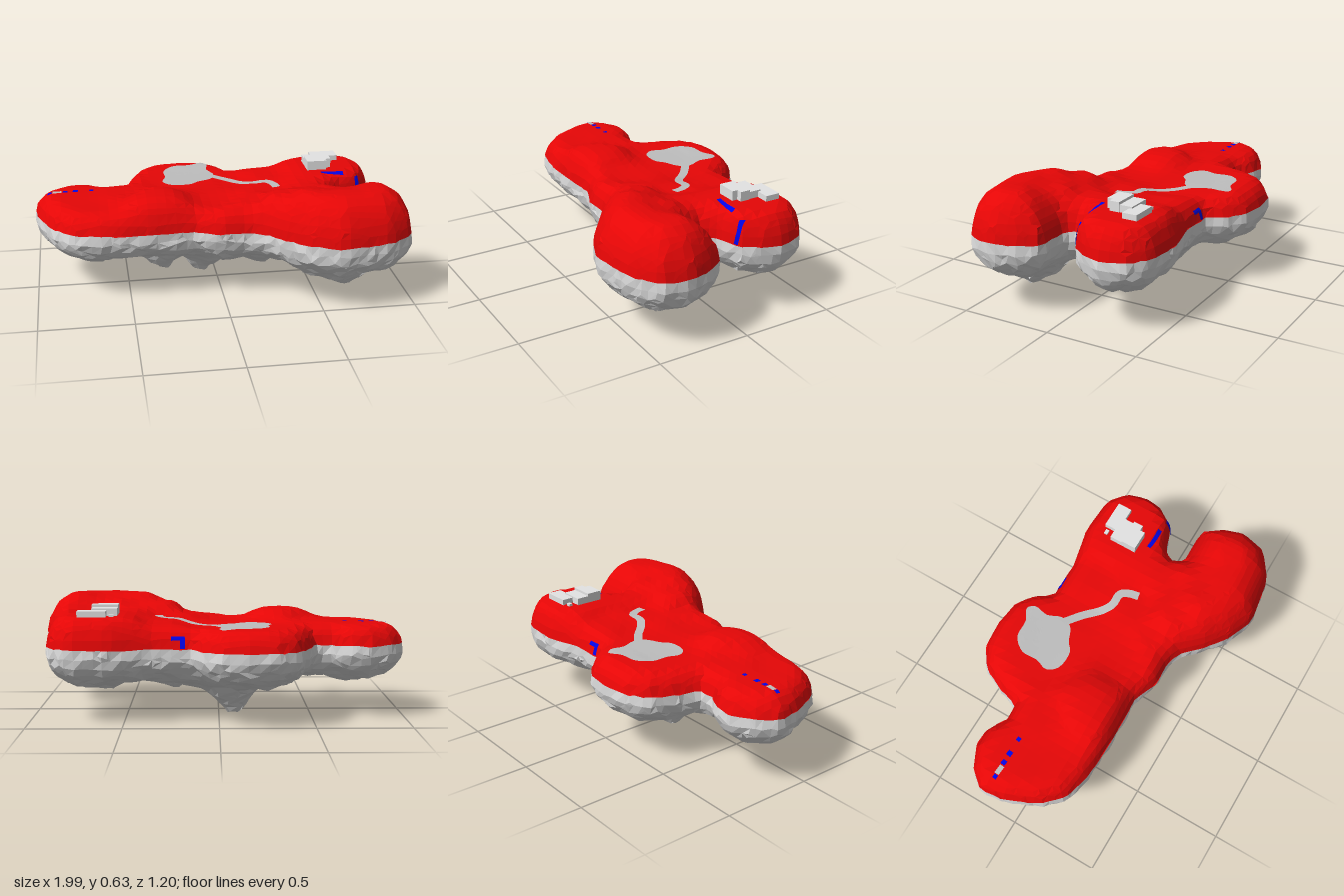
import * as THREE from 'three';

const mat = (name, color, extra = {}) => Object.assign(new THREE.MeshStandardMaterial({ color, ...extra }), { name });

// plan outline (x, z)
const OUTLINE = [[-0.995, -0.18], [-0.92, -0.27], [-0.8, -0.33], [-0.68, -0.32], [-0.6, -0.265], [-0.51, -0.27],
  [-0.47, -0.4], [-0.41, -0.52], [-0.3, -0.59], [-0.155, -0.605], [-0.01, -0.585], [0.085, -0.515], [0.14, -0.425],
  [0.35, -0.425], [0.57, -0.475], [0.78, -0.465], [0.88, -0.385], [0.92, -0.265], [0.9, -0.16], [0.83, -0.065],
  [0.7, -0.02], [0.65, 0.04], [0.68, 0.1], [0.89, 0.095], [0.96, 0.2], [1, 0.32], [0.96, 0.47], [0.83, 0.56],
  [0.57, 0.6], [0.42, 0.54], [0.3, 0.45], [0.19, 0.34], [0.11, 0.32], [-0.02, 0.325], [-0.155, 0.27], [-0.4, 0.28],
  [-0.66, 0.27], [-0.8, 0.23], [-0.9, 0.13], [-0.98, -0.05]];

// height samples (x, z, y) for the top and the underside
const TOP = [[-0.9, -0.1, 0.505], [-0.75, -0.2, 0.505], [-0.7, 0.1, 0.5], [-0.34, 0.07, 0.567], [-0.5, -0.1, 0.51],
  [-0.15, -0.3, 0.5], [-0.2, -0.45, 0.505], [-0.05, -0.2, 0.5], [-0.25, -0.2, 0.5], [0, 0.1, 0.5], [0.1, -0.2, 0.495],
  [0.3, -0.25, 0.515], [0.3, 0, 0.52], [0.15, 0.2, 0.525], [0.3, 0.25, 0.59], [0.42, 0.35, 0.63], [0.6, 0.4, 0.63],
  [0.8, 0.35, 0.63], [0.6, 0.2, 0.6], [0.5, 0.05, 0.555], [0.55, -0.25, 0.56], [0.7, -0.3, 0.56], [0.75, -0.15, 0.56],
  [0.6, -0.12, 0.56]];
const BOTTOM = [[-0.75, 0, 0.17], [-0.8, -0.2, 0.19], [-0.5, 0, 0.205], [-0.25, 0.1, 0.185], [-0.2, -0.4, 0.185],
  [0, -0.1, 0.16], [0.2, 0, 0.175], [0.4, -0.2, 0.195], [0.7, -0.25, 0.17], [0.6, 0.3, 0.13], [0.8, 0.35, 0.155], [0.4, 0.15, 0.19]];
// hanging points: x, z, length, radius
const SPIKES = [[-0.075, -0.1, 0.18, 0.19], [0.64, 0.3, 0.08, 0.16], [-0.3, 0.08, 0.1, 0.12], [0.25, 0.08, 0.08, 0.12]];

function edgeDistance(x, z) {
  let best = 9, inside = false;
  OUTLINE.forEach(([ax, az], i) => {
    const [bx, bz] = OUTLINE[(i + 1) % OUTLINE.length];
    const dx = bx - ax, dz = bz - az;
    const t = Math.min(1, Math.max(0, ((x - ax) * dx + (z - az) * dz) / (dx * dx + dz * dz)));
    best = Math.min(best, Math.hypot(x - ax - t * dx, z - az - t * dz));
    if ((az > z) !== (bz > z) && x < ax + dx * (z - az) / dz) inside = !inside;
  });
  return (inside ? best : -best) + 0.003;
}
function blend(samples, x, z) {
  let sum = 0, total = 0;
  for (const [sx, sz, y] of samples) {
    const w = 1 / ((x - sx) ** 2 + (z - sz) ** 2 + 0.003) ** 2;
    sum += w * y;
    total += w;
  }
  return sum / total;
}
const hash = n => { const s = Math.sin(n * 12.9898) * 43758.5453; return s - Math.floor(s) - 0.5; };

// land density: positive inside, rounded towards the outline above and below the widest level
const MID = 0.36;
function density(x, y, z) {
  const d = edgeDistance(x, z), { smoothstep } = THREE.MathUtils;
  let height, R;
  if (y > MID) {
    height = blend(TOP, x, z) - MID;
    // soft shoulder on the tall front lobe, steep wall in the notch
    R = 0.11 + 0.07 * smoothstep(x, 0.2, 0.4) * smoothstep(z, 0, 0.15)
      - 0.05 * Math.max(0, 1 - Math.hypot(x - 0.78, z + 0.08) / 0.2);
  } else {
    height = MID - blend(BOTTOM, x, z) + 0.015 * Math.sin(23 * x + 1) * Math.cos(27 * z);
    for (const [sx, sz, len, r] of SPIKES) height += len * Math.max(0, 1 - Math.hypot(x - sx, z - sz) / r);
    R = 0.28;
  }
  return 1 - ((R - Math.min(d, R)) / R) ** 2 - ((y - MID) / height) ** 2;
}
// move a point onto the zero level of the density
function settle(p) {
  const E = 0.004;
  for (let n = 0; n < 3; n++) {
    const f = density(...p);
    const g = p.map((_, a) => (density(...p.map((q, b) => q + (a === b ? E : 0))) - f) / E);
    const len = Math.hypot(...g);
    if (len < 1e-6) return;
    const step = THREE.MathUtils.clamp(f / len, -0.012, 0.012);
    g.forEach((q, a) => { p[a] -= step * q / len; });
  }
}

// Faceted land body: a surface net over the density, split at y = 0.4
function landGeometries() {
  const S = 0.05, N = [46, 17, 30], O = [-1.125, -0.125, -0.725], SPLIT = 10;
  const id = (i, j, k) => (i * N[1] + j) * N[2] + k;
  const field = new Float32Array(N[0] * N[1] * N[2]);
  for (let i = 0; i < N[0]; i++) for (let j = 0; j < N[1]; j++) for (let k = 0; k < N[2]; k++)
    field[id(i, j, k)] = density(O[0] + i * S, O[1] + j * S, O[2] + k * S);
  // one vertex per crossed cell
  const verts = new Map();
  for (let i = 0; i < N[0] - 1; i++) for (let j = 0; j < N[1] - 1; j++) for (let k = 0; k < N[2] - 1; k++) {
    const p = [0, 0, 0];
    let count = 0;
    for (let c = 0; c < 8; c++) for (let a = 0; a < 3; a++) {
      if (c >> a & 1) continue;
      const u = [c & 1, c >> 1 & 1, c >> 2 & 1], v = u.slice();
      v[a] = 1;
      const fu = field[id(i + u[0], j + u[1], k + u[2])], fv = field[id(i + v[0], j + v[1], k + v[2])];
      if ((fu > 0) === (fv > 0)) continue;
      u[a] = fu / (fu - fv);
      u.forEach((q, n) => { p[n] += q; });
      count++;
    }
    if (!count) continue;
    const key = id(i, j, k);
    const out = [i, j, k].map((c, n) => O[n] + (c + p[n] / count) * S);
    settle(out);
    if (j === SPLIT) out[1] = 0.4 + 0.008 * hash(key);
    if (j < SPLIT) out.forEach((q, n) => { out[n] = q + 0.012 * hash(key + n * 0.37); });
    out[1] = Math.max(0, out[1]);
    verts.set(key, out);
  }
  // one quad per crossed grid edge
  const parts = [[], []];
  for (let i = 1; i < N[0] - 1; i++) for (let j = 1; j < N[1] - 1; j++) for (let k = 1; k < N[2] - 1; k++) {
    for (let a = 0; a < 3; a++) {
      const e = [i, j, k];
      e[a]++;
      const f0 = field[id(i, j, k)] > 0, f1 = field[id(...e)] > 0;
      if (f0 === f1) continue;
      const q = [[1, 1], [0, 1], [0, 0], [1, 0]].map(([b, c]) => {
        const cell = [i, j, k];
        cell[(a + 1) % 3] -= b;
        cell[(a + 2) % 3] -= c;
        return verts.get(id(...cell));
      });
      if (!f0) q.reverse();
      const low = Math.min(...q.map(v => v[1])) < 0.395;
      for (const n of [0, 1, 2, 0, 2, 3]) parts[low ? 1 : 0].push(...q[n]);
    }
  }
  return parts.map(geometryFrom);
}
function geometryFrom(points) {
  const g = new THREE.BufferGeometry();
  g.setAttribute('position', new THREE.Float32BufferAttribute(points, 3));
  g.computeVertexNormals();
  return g;
}

export function createModel() {
  const group = new THREE.Group();
  const red = mat('red ground', 0xe60606, { flatShading: true });
  const rock = mat('grey rock', 0xdcdcdc, { flatShading: true });
  const pale = mat('path grey', 0xbebebe, { side: THREE.DoubleSide });
  const blue = mat('water blue', 0x0404e6, { side: THREE.DoubleSide });
  const wall = mat('building grey', 0xe4e4e4, { flatShading: true });
  const add = (name, geometry, material) => {
    const mesh = new THREE.Mesh(geometry, material);
    mesh.name = name;
    group.add(mesh);
    return mesh;
  };

  const [topGeo, rockGeo] = landGeometries();
  const ground = add('ground', topGeo, red);
  add('rockUnderside', rockGeo, rock);

  // project a point onto the ground along a direction
  const caster = new THREE.Raycaster();
  const DOWN = new THREE.Vector3(0, -1, 0);
  const project = (p, dir) => {
    caster.set(p, dir);
    const hit = caster.intersectObject(ground)[0];
    return hit ? hit.point.addScaledVector(dir, -0.006).toArray() : null;
  };
  const ribbon = (name, material, path, width, dir = DOWN) => {
    const curve = new THREE.CatmullRomCurve3(path.map(p => new THREE.Vector3(...p)));
    const steps = Math.max(3, Math.ceil(curve.getLength() / 0.012)), pts = [];
    let last = null;
    for (let i = 0; i <= steps; i++) {
      const c = curve.getPointAt(i / steps);
      const side = curve.getTangentAt(i / steps).cross(dir).setLength(width / 2);
      const row = [-1, 0, 1].map(s => project(c.clone().addScaledVector(side, s), dir));
      if (row.includes(null)) { last = null; continue; }
      if (last) for (const n of [0, 1]) pts.push(...last[n], ...row[n], ...row[n + 1], ...last[n], ...row[n + 1], ...last[n + 1]);
      last = row;
    }
    if (pts.length) add(name, geometryFrom(pts), material);
  };

  // clearing, draped in rings from its centre
  const rim = new THREE.CatmullRomCurve3([[-0.26, -0.37], [-0.2, -0.44], [-0.1, -0.45], [-0.03, -0.485], [0, -0.45],
    [-0.01, -0.37], [0.02, -0.29], [-0.005, -0.225], [-0.085, -0.185], [-0.13, -0.15], [-0.235, -0.155], [-0.28, -0.21],
    [-0.26, -0.28]].map(([x, z]) => new THREE.Vector3(x, 1, z)), true).getPoints(52);
  const center = new THREE.Vector3(-0.13, 1, -0.31), RINGS = 8, disc = [];
  const at = (i, r) => project(center.clone().lerp(rim[i], r / RINGS), DOWN);
  for (let i = 0; i < 52; i++) for (let r = 0; r < RINGS; r++) {
    const [a, b, c, d] = [at(i, r), at(i, r + 1), at(i + 1, r + 1), at(i + 1, r)];
    if (a && b && c && d) disc.push(...a, ...c, ...b, ...a, ...d, ...c);
  }
  add('clearing', geometryFrom(disc), pale);
  ribbon('footpath', pale, [[0, 1, -0.27], [0.09, 1, -0.2], [0.17, 1, -0.12], [0.22, 1, -0.09], [0.29, 1, -0.085],
    [0.32, 1, -0.04], [0.33, 1, 0.01]], 0.045);

  // puddles and a stone patch at the left end
  for (const [x, w] of [[-0.91, 0.022], [-0.825, 0.026], [-0.77, 0.028], [-0.682, 0.022]])
    ribbon('puddle', blue, [[x - w / 2, 1, -0.128], [x + w / 2, 1, -0.125]], w);
  ribbon('stonePatch', pale, [[-0.895, 1, -0.128], [-0.845, 1, -0.124]], 0.026);

  // streams falling over the edges
  const back = new THREE.Vector3(0, 0, -1), front = new THREE.Vector3(0, 0, 1);
  ribbon('stream', blue, [[0.6, 1, -0.083], [0.66, 1, -0.08], [0.73, 1, -0.083]], 0.022);
  ribbon('waterfall', blue, [[0.805, 0.53, 0.06], [0.81, 0.47, 0.06], [0.805, 0.405, 0.06]], 0.022, back);
  ribbon('backStream', blue, [[0.25, 0.455, -1], [0.18, 0.455, -1]], 0.02, front);
  ribbon('backWaterfall', blue, [[0.19, 0.46, -1], [0.19, 0.405, -1]], 0.026, front);

  // buildings: x0, x1, z0, z1, roof height
  for (const [x0, x1, z0, z1, y] of [[0.59, 0.74, -0.355, -0.275, 0.59], [0.535, 0.67, -0.29, -0.22, 0.598],
    [0.535, 0.675, -0.22, -0.165, 0.612], [0.535, 0.645, -0.165, -0.135, 0.612], [0.55, 0.575, -0.34, -0.32, 0.572]]) {
    const box = new THREE.BoxGeometry(x1 - x0, y - 0.53, z1 - z0);
    add('building', box.translate((x0 + x1) / 2, (y + 0.53) / 2, (z0 + z1) / 2), wall);
  }
  return group;
}
